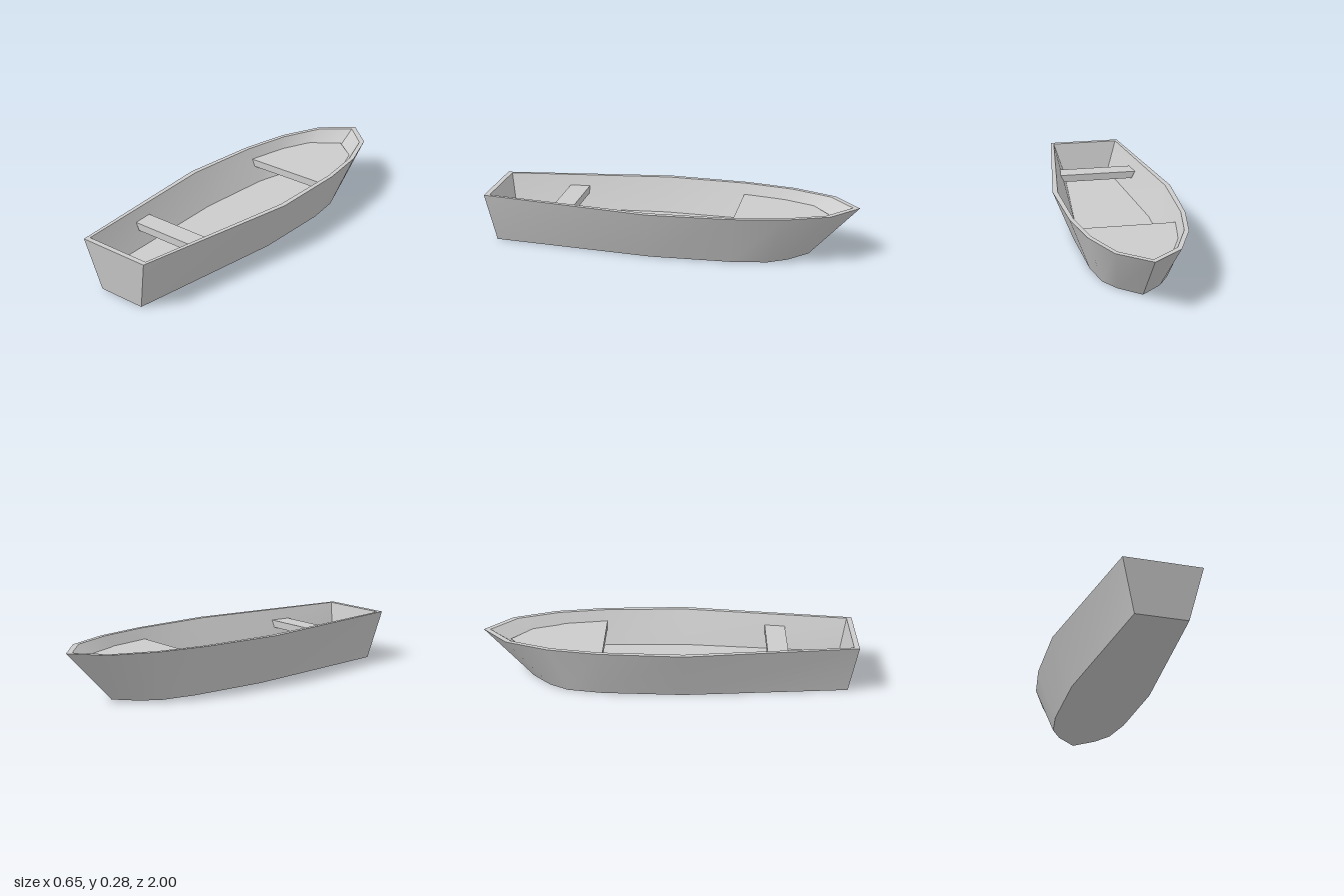
import * as THREE from 'three';
import { toCreasedNormals } from 'three/addons/utils/BufferGeometryUtils.js';

// Mirrors a half outline of [halfWidth, z] (stern to bow) into a closed loop at height y
function loop(y, half) {
  const left = half.map(([x, z]) => [x, y, z]);
  const right = half.filter(([x]) => x > 0).reverse().map(([x, z]) => [-x, y, z]);
  return [...left, ...right];
}

// Skins matching loops in order and closes the first (facing down) and last (facing up)
function loft(name, loops, material) {
  const n = loops[0].length;
  const pos = [];
  const tri = (a, b, c) => pos.push(...a, ...b, ...c);
  for (let k = 0; k < loops.length - 1; k++) {
    const a = loops[k], b = loops[k + 1];
    for (let i = 0; i < n; i++) {
      const j = (i + 1) % n;
      tri(a[i], a[j], b[j]);
      tri(a[i], b[j], b[i]);
    }
  }
  const first = loops[0], last = loops[loops.length - 1];
  for (let i = 1; i < n - 1; i++) {
    tri(first[0], first[i + 1], first[i]);
    tri(last[0], last[i], last[i + 1]);
  }
  const geometry = new THREE.BufferGeometry();
  geometry.setAttribute('position', new THREE.Float32BufferAttribute(pos, 3));
  const mesh = new THREE.Mesh(toCreasedNormals(geometry, 0.6), material);
  mesh.name = name;
  return mesh;
}

export function createModel() {
  const group = new THREE.Group();
  group.name = 'rowingBoat';
  const material = new THREE.MeshStandardMaterial({ color: 0xcccccc });

  // Hull: outer bottom, outer rim, inner rim, inner floor
  group.add(loft('hull', [
    loop(0, [[0.136, 0.96], [0.215, 0.08], [0.2, -0.355], [0.168, -0.54], [0.108, -0.64], [0, -0.74]]),
    loop(0.276, [[0.204, 1], [0.326, 0.08], [0.303, -0.36], [0.255, -0.63], [0.162, -0.86], [0, -1]]),
    loop(0.276, [[0.19, 0.972], [0.298, 0.08], [0.28, -0.355], [0.234, -0.615], [0.147, -0.835], [0, -0.964]]),
    loop(0.1, [[0.134, 0.935], [0.207, 0.08], [0.194, -0.35], [0.158, -0.52], [0.1, -0.61], [0, -0.69]]),
  ], material));

  // Bow seat, fitted to the flare of the sides
  group.add(loft('bowSeat', [
    loop(0.18, [[0.235, -0.35], [0.2, -0.56], [0.132, -0.71], [0, -0.81]]),
    loop(0.22, [[0.253, -0.35], [0.217, -0.58], [0.147, -0.745], [0, -0.857]]),
  ], material));

  // Stern bench
  group.add(loft('sternBench', [
    loop(0.18, [[0.19, 0.635], [0.202, 0.525]]),
    loop(0.22, [[0.208, 0.635], [0.222, 0.525]]),
  ], material));

  return group;
}
